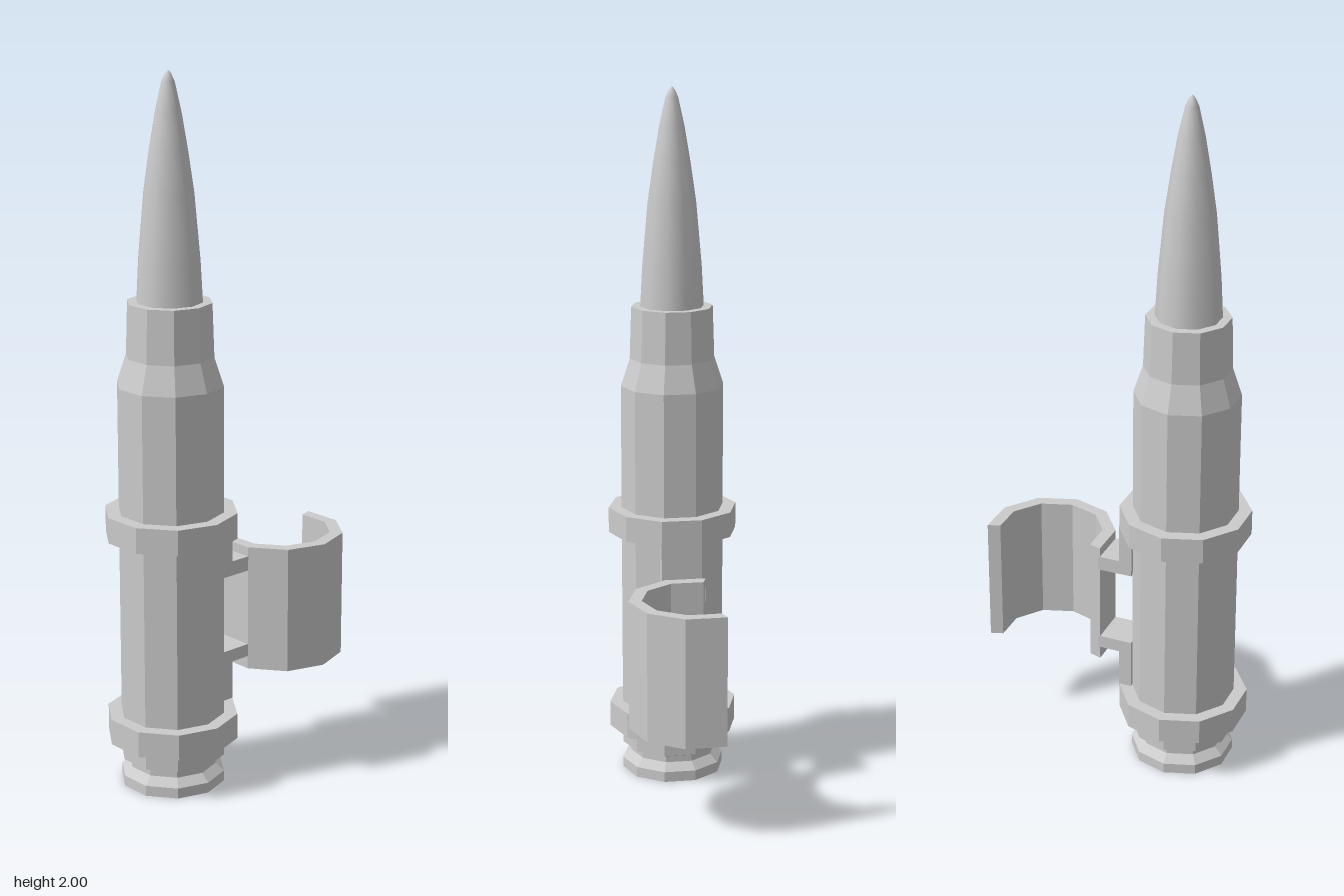
import * as THREE from 'three';

const SIDES = 10;
const OFFSET = 0.207; // distance of each round axis from the centre
const OUTER = 0.186, INNER = 0.149;

const flat = new THREE.MeshStandardMaterial({ color: 0xcccccc, flatShading: true });
const smooth = new THREE.MeshStandardMaterial({ color: 0xcccccc });

export function createModel() {
  const group = new THREE.Group();

  const add = (name, geometry, material = flat) => {
    const mesh = new THREE.Mesh(geometry, material);
    mesh.name = name;
    group.add(mesh);
    return mesh;
  };

  // Ten-sided turned part with a corner on the x axis; profile runs bottom to top
  const turned = (name, profile, material) => {
    const points = profile.map(([r, y]) => new THREE.Vector2(r, y));
    const mesh = add(name, new THREE.LatheGeometry(points, SIDES, Math.PI / 2), material);
    mesh.position.z = OFFSET;
  };

  const box = (name, y0, y1, z0, z1) => {
    const mesh = add(name, new THREE.BoxGeometry(0.116, y1 - y0, z1 - z0));
    mesh.position.set(0, (y0 + y1) / 2, (z0 + z1) / 2);
  };

  // Case: base rim, groove, straight body, shoulder and neck
  turned('case', [
    [0, 0], [0.148, 0], [0.148, 0.03], [0.124, 0.052], [0.124, 0.07], [0.148, 0.08],
    [0.148, 1.157], [0.122, 1.236], [0.117, 1.385], [0.085, 1.385],
  ]);

  // Pointed tip, smooth shaded
  turned('tip', [
    [0.092, 1.37], [0.085, 1.5], [0.069, 1.68], [0.053, 1.79],
    [0.036, 1.89], [0.018, 1.97], [0.009, 1.99], [0, 2],
  ], smooth);

  // Two link rings around the case
  for (const [name, y0, y1] of [['lowerRing', 0.133, 0.207], ['upperRing', 0.727, 0.8]]) {
    turned(name, [[INNER - 0.002, y0], [OUTER, y0], [OUTER, y1], [INNER - 0.002, y1]]);
  }

  // Strips running from the rings to the tabs that hold the clip
  box('lowerStrip', 0.2, 0.355, 0.03, 0.067);
  box('upperStrip', 0.578, 0.735, 0.03, 0.067);
  box('lowerTab', 0.318, 0.355, -0.035, 0.03);
  box('upperTab', 0.578, 0.62, -0.035, 0.03);

  // Open C-shaped clip behind, following the same ten-sided outline
  const arc = (r) => Array.from({ length: 7 }, (_, i) => {
    const a = THREE.MathUtils.degToRad(-108 + 36 * i);
    return new THREE.Vector2(r * Math.cos(a), OFFSET + r * Math.sin(a));
  });
  const clipShape = new THREE.Shape([...arc(OUTER), ...arc(INNER).reverse()]);
  const clip = add('clip', new THREE.ExtrudeGeometry(clipShape, { depth: 0.367, bevelEnabled: false }));
  clip.rotation.x = -Math.PI / 2;
  clip.position.y = 0.28;

  return group;
}
